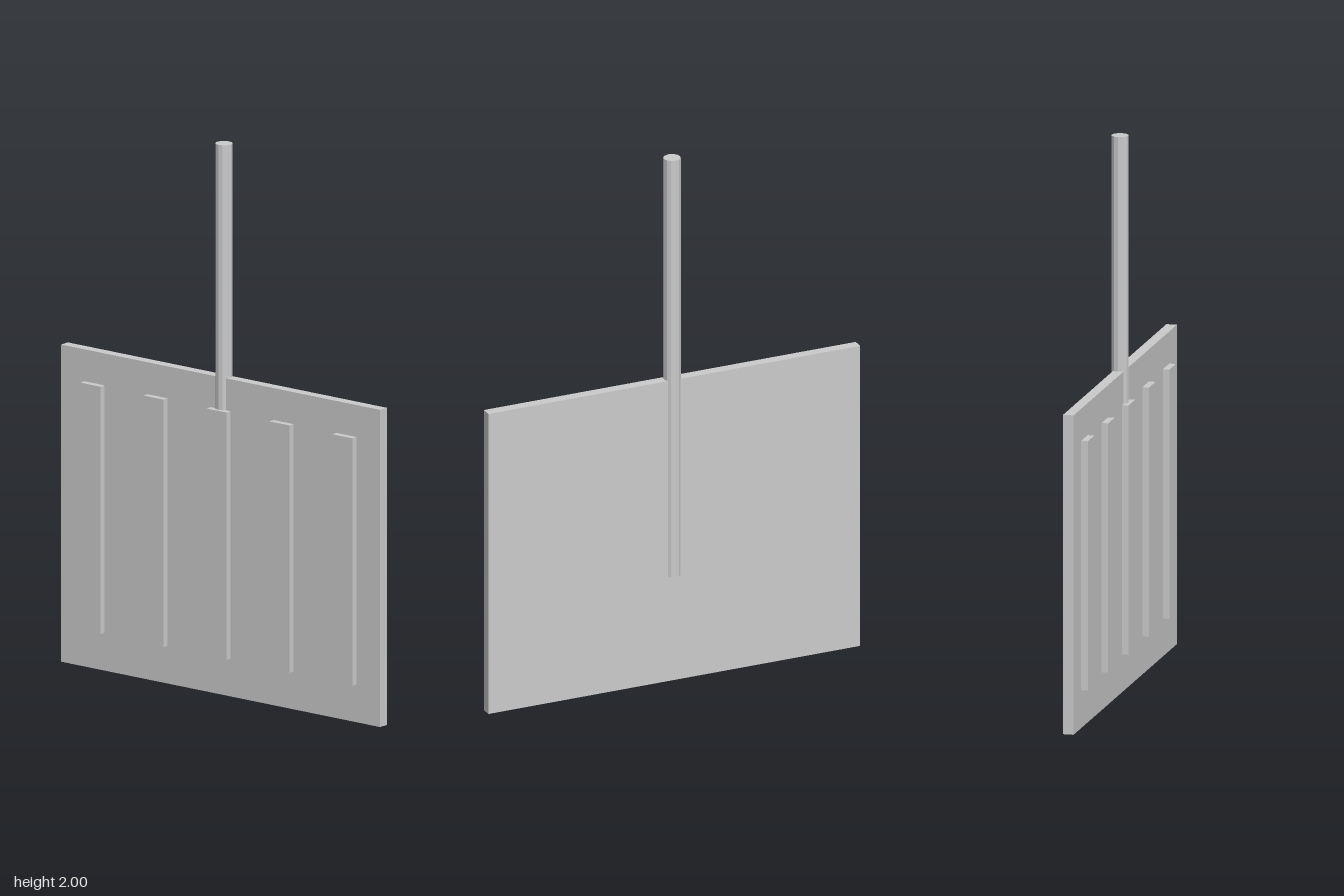
import * as THREE from 'three';

export function createModel() {
  const group = new THREE.Group();
  const material = new THREE.MeshStandardMaterial({ color: 0xcccccc, flatShading: true });

  const add = (name, geometry, x, y, z) => {
    const mesh = new THREE.Mesh(geometry, material);
    mesh.name = name;
    mesh.position.set(x, y, z);
    group.add(mesh);
  };

  const bladeZ = -0.006, bladeDepth = 0.038, bladeHeight = 1.153;
  const bladeFront = bladeZ + bladeDepth / 2;

  // Flat scoop blade
  add('blade', new THREE.BoxGeometry(1.434, bladeHeight, bladeDepth), 0, bladeHeight / 2, bladeZ);

  // Handle runs through the blade, showing on both faces
  const handleBottom = 0.4, handleTop = 2;
  add('handle', new THREE.CylinderGeometry(0.031, 0.031, handleTop - handleBottom, 12),
    0, (handleBottom + handleTop) / 2, bladeZ);

  // Five stiffening ribs on the front face, sunk slightly into the blade
  const ribFront = 0.037, ribBack = bladeFront - 0.004;
  const ribGeometry = new THREE.BoxGeometry(0.09, 0.9, ribFront - ribBack);
  for (let i = -2; i <= 2; i++) {
    add(`rib${i + 3}`, ribGeometry, i * 0.283, 0.587, (ribFront + ribBack) / 2);
  }

  return group;
}
